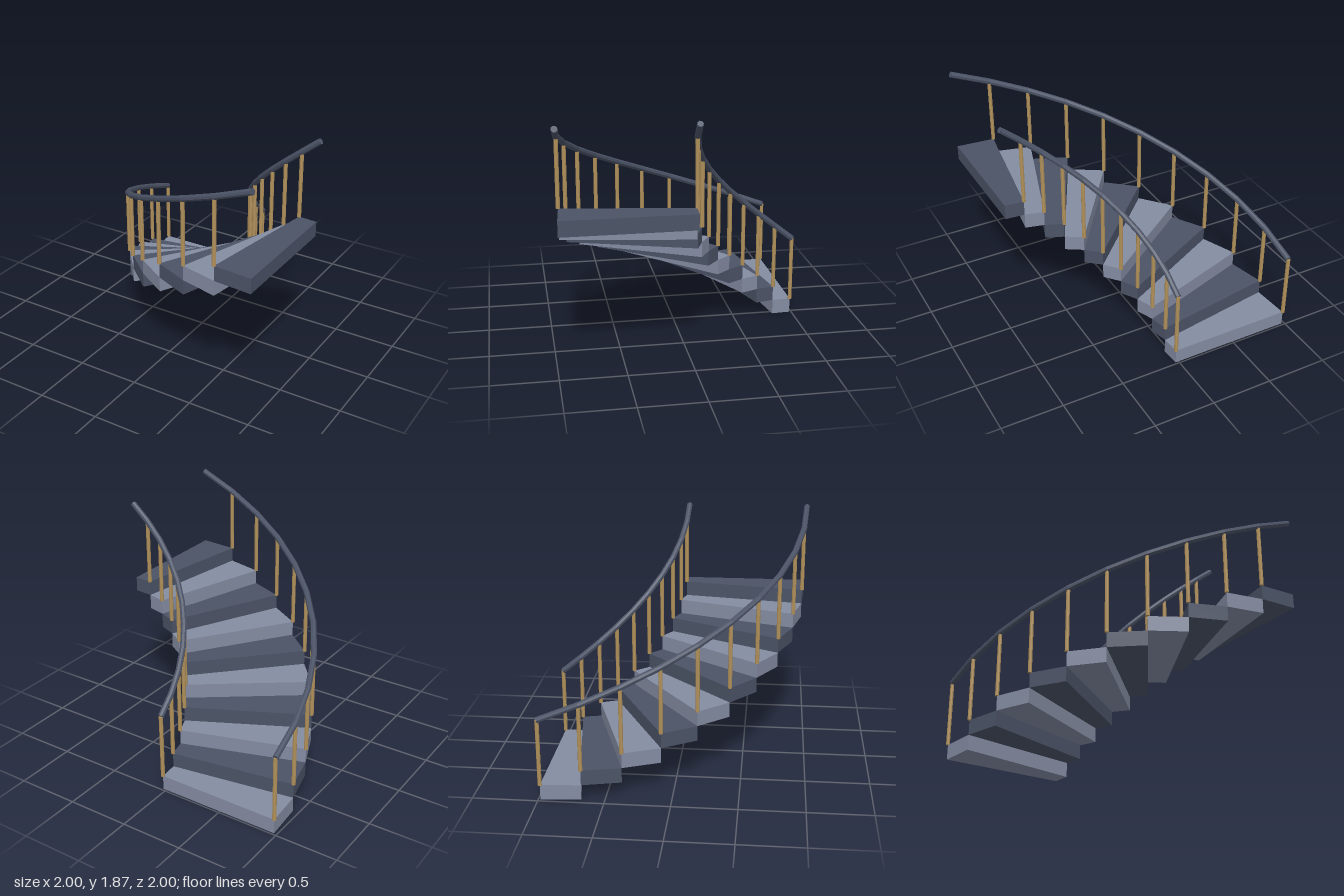
import * as THREE from 'three';

const STEPS = 10, RISE = 0.12, CENTRE = 0.984;
const INNER = 0.958, OUTER = 1.96;
const RAIL_START = 0.65, RAIL_RADIUS = 0.024, POST_RADIUS = 0.016;

// Point on the quarter turn; t runs from 0 (foot) to 1 (top)
function turn(radius, t, y) {
  const a = t * Math.PI / 2;
  return new THREE.Vector3(CENTRE - radius * Math.cos(a), y, -CENTRE + radius * Math.sin(a));
}

class RailCurve extends THREE.Curve {
  constructor(radius) {
    super();
    this.radius = radius;
  }
  getPoint(t) {
    return turn(this.radius, t, RAIL_START + t * STEPS * RISE);
  }
}

// Faceted normals
function faceted(geometry) {
  const g = geometry.toNonIndexed();
  g.computeVertexNormals();
  return g;
}

function addMesh(parent, name, geometry, material) {
  const mesh = new THREE.Mesh(geometry, material);
  mesh.name = name;
  parent.add(mesh);
  return mesh;
}

// Wedge-shaped solid tread with straight ends
function treadGeometry(i) {
  const corners = [[INNER, i], [OUTER, i], [OUTER, i + 1], [INNER, i + 1]].map(([r, k]) => {
    const p = turn(r, k / STEPS, 0);
    return new THREE.Vector2(p.x, -p.z);
  });
  const g = new THREE.ExtrudeGeometry(new THREE.Shape(corners), { depth: RISE, bevelEnabled: false });
  g.rotateX(-Math.PI / 2);
  g.translate(0, i * RISE, 0);
  return g;
}

export function createModel() {
  const light = new THREE.MeshStandardMaterial({ color: 0x848ca2 });
  light.name = 'light slate';
  const dark = new THREE.MeshStandardMaterial({ color: 0x4b5366 });
  dark.name = 'dark slate';
  const wood = new THREE.MeshStandardMaterial({ color: 0xb0905a });
  wood.name = 'wood';

  const model = new THREE.Group();
  model.name = 'curvedStaircase';

  // Treads in alternating colours
  const treads = new THREE.Group();
  treads.name = 'treads';
  model.add(treads);
  for (let i = 0; i < STEPS; i++) {
    addMesh(treads, `tread${i + 1}`, treadGeometry(i), i % 2 ? dark : light);
  }

  // One railing along each edge
  for (const [side, radius] of [['inner', INNER], ['outer', OUTER]]) {
    const railing = new THREE.Group();
    railing.name = `${side}Railing`;
    model.add(railing);

    // Balusters stand at the front edge of each tread
    const height = RAIL_START - RISE;
    const post = faceted(new THREE.CylinderGeometry(POST_RADIUS, POST_RADIUS, height, 8));
    for (let i = 0; i < STEPS; i++) {
      addMesh(railing, `${side}Baluster${i + 1}`, post, wood)
        .position.copy(turn(radius, i / STEPS, (i + 1) * RISE + height / 2));
    }

    // Handrail with closed ends
    const curve = new RailCurve(radius);
    addMesh(railing, `${side}Handrail`, faceted(new THREE.TubeGeometry(curve, STEPS, RAIL_RADIUS, 8)), dark);
    for (const t of [0, 1]) {
      const cap = addMesh(railing, `${side}HandrailEnd`, new THREE.CircleGeometry(RAIL_RADIUS, 8), dark);
      const out = curve.getTangent(t).multiplyScalar(t ? 1 : -1);
      cap.position.copy(curve.getPoint(t));
      cap.quaternion.setFromUnitVectors(new THREE.Vector3(0, 0, 1), out);
    }
  }
  return model;
}
